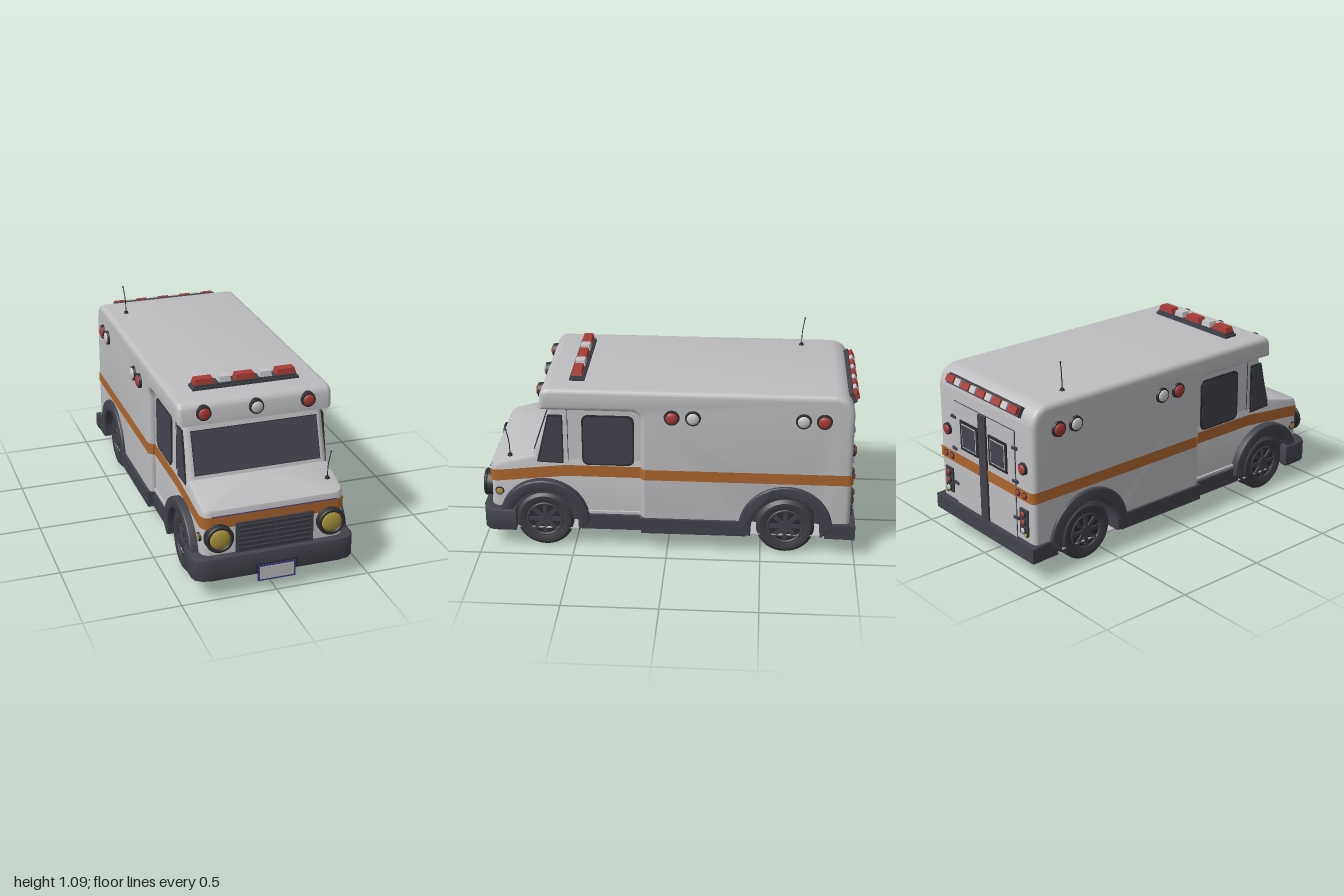
import * as THREE from 'three';
import { toCreasedNormals } from 'three/addons/utils/BufferGeometryUtils.js';

const mat = (name, color) => Object.assign(new THREE.MeshStandardMaterial({ color }), { name });
const M = {
  body: mat('body white', 0xbdbcbf), stripe: mat('stripe orange', 0xac652e),
  trim: mat('trim grey', 0x41424b), glass: mat('window glass', 0x42434e),
  tire: mat('tire grey', 0x3c3c42), black: mat('rim black', 0x2d2d31),
  red: mat('lamp red', 0xa83b36), yellow: mat('lamp yellow', 0xac963c),
  lens: mat('lamp white', 0xc4c3c6), navy: mat('plate navy', 0x404084),
};

export function createModel() {
  const root = new THREE.Group();
  const add = (name, geo, m, x = 0, y = 0, z = 0, parent = root) => {
    const mesh = new THREE.Mesh(geo, m);
    mesh.name = name;
    mesh.position.set(x, y, z);
    parent.add(mesh);
    return mesh;
  };
  const box = (name, m, w, h, d, x, y, z, parent) => add(name, new THREE.BoxGeometry(w, h, d), m, x, y, z, parent);
  const polygon = (pts) => new THREE.Shape(pts.map((p) => new THREE.Vector2(...p)));
  const roundRect = (x0, y0, x1, y1, r) => {
    const s = new THREE.Shape();
    s.absarc(x1 - r, y1 - r, r, 0, Math.PI / 2);
    s.absarc(x0 + r, y1 - r, r, Math.PI / 2, Math.PI);
    s.absarc(x0 + r, y0 + r, r, Math.PI, Math.PI * 1.5);
    s.absarc(x1 - r, y0 + r, r, Math.PI * 1.5, Math.PI * 2);
    return s;
  };
  // Extrude a (z, y) side profile along x, centred on x = 0
  const sideExtrude = (shape, width, bevel = 0) => {
    const depth = width - 2 * bevel;
    const g = new THREE.ExtrudeGeometry(shape, {
      depth, bevelEnabled: bevel > 0, bevelSize: bevel, bevelThickness: bevel,
      bevelOffset: -bevel, bevelSegments: 4, curveSegments: 20,
    });
    return toCreasedNormals(g.translate(0, 0, -depth / 2).rotateY(-Math.PI / 2), 0.6);
  };
  const sidePair = (name, shape, m, x, thick, bevel) => {
    for (const s of [1, -1]) add(name, sideExtrude(shape, thick, bevel), m, s * x);
  };
  // Plan outline with rounded front corners, height given by yFn(z)
  const ring = (w, zf, zb, r, yFn, mids = []) => {
    const half = [[w, zb], ...mids.map((z) => [w, z])];
    for (let i = 0; i <= 5; i++) {
      const a = (i / 5) * Math.PI / 2;
      half.push([w - r + r * Math.cos(a), zf - r + r * Math.sin(a)]);
    }
    const all = [...half, ...half.slice().reverse().map(([x, z]) => [-x, z])];
    return all.map(([x, z]) => [x, yFn(z), z]);
  };
  // Skin between stacked outlines, with an optional top cap
  const loft = (rings, cap) => {
    const n = rings[0].length, pos = rings.flat(2), idx = [];
    for (let k = 0; k < rings.length - 1; k++) for (let i = 0; i < n; i++) {
      const j = (i + 1) % n, a = k * n, b = a + n;
      idx.push(a + i, b + i, b + j, a + i, b + j, a + j);
    }
    if (cap) {
      const c = pos.length / 3, t = (rings.length - 1) * n;
      pos.push(...cap);
      for (let i = 0; i < n; i++) idx.push(c, t + (i + 1) % n, t + i);
    }
    const g = new THREE.BufferGeometry();
    g.setAttribute('position', new THREE.Float32BufferAttribute(pos, 3));
    g.setIndex(idx);
    return toCreasedNormals(g, 0.6);
  };
  const lamp = (name, r, m, x, y, z, ry = 0, depth = 0.03, squash = 0.4) => {
    const g = new THREE.Group();
    g.name = name;
    g.position.set(x, y, z);
    g.rotation.y = ry;
    add('lampRim', new THREE.CylinderGeometry(r * 0.9, r, depth, 24).rotateX(Math.PI / 2), M.black, 0, 0, 0, g);
    const lens = add('lampLens', new THREE.SphereGeometry(r * 0.74, 20, 8, 0, Math.PI * 2, 0, Math.PI / 2).rotateX(Math.PI / 2), m, 0, 0, depth / 2, g);
    lens.scale.z = squash;
    root.add(g);
    return g;
  };

  // Rear box and overhanging roof in one side profile
  const p = new THREE.Shape();
  p.moveTo(-0.97, 0.15);
  p.lineTo(-0.82, 0.15);
  p.absarc(-0.63, 0.155, 0.19, Math.PI, 0, true);
  p.lineTo(0.14, 0.15);
  p.lineTo(0.14, 0.75);
  p.quadraticCurveTo(0.14, 0.805, 0.195, 0.805);
  p.lineTo(0.67, 0.805);
  p.lineTo(0.665, 0.885);
  p.quadraticCurveTo(0.655, 0.925, 0.61, 0.925);
  p.lineTo(-0.86, 0.925);
  p.quadraticCurveTo(-0.955, 0.92, -0.968, 0.82);
  p.closePath();
  add('boxBodyAndRoof', sideExtrude(p, 0.82, 0.027), M.body);

  // Cab: nose with sloped hood, and upper cabin
  const hood = (d) => (z) => 0.53 - Math.max(0, z - 0.715) * 0.25 - d;
  const noseRing = (inset, yFn) => ring(0.378 - inset, 0.95 - inset, 0.1, 0.05, yFn, [0.54, 0.715]);
  add('cabNose', loft([noseRing(0, () => 0.15), noseRing(0, hood(0.025)), noseRing(0.007, hood(0.007)), noseRing(0.025, hood(0))], [0, 0.53, 0.715]), M.body);
  add('cabUpper', loft([ring(0.375, 0.725, 0.1, 0.03, () => 0.5), ring(0.372, 0.617, 0.1, 0.03, () => 0.82)], [0, 0.82, 0.4]), M.body);

  // Stripes wrapped round the nose and the box
  const mid = (d) => (z) => 0.45 - Math.max(0, z - 0.54) * 0.11 + d;
  const noseStripe = (d) => ring(0.381, 0.953, 0.11, 0.05, mid(d), [0.54, 0.715]);
  add('noseStripe', loft([noseStripe(-0.034), noseStripe(0.03)]), M.stripe);
  const boxStripe = (y) => ring(0.4125, 0.979, -0.115, 0.03, () => y);
  add('boxStripe', loft([boxStripe(0.42), boxStripe(0.48)]).rotateY(Math.PI), M.stripe);
  for (const s of [1, -1]) {
    box('stripeCorner', M.stripe, 0.036, 0.06, 0.005, s * 0.4015, 0.45, 0.1315).rotation.y = s * Math.PI / 4;
    box('stripeReturn', M.stripe, 0.02, 0.06, 0.005, s * 0.382, 0.45, 0.141);
  }
  box('stripeLine', M.navy, 0.66, 0.004, 0.004, 0, 0.437, 0.953);

  // Windows and door seams
  const tilt = -Math.atan(0.1075 / 0.32);
  box('windshieldFrame', M.black, 0.674, 0.228, 0.006, 0, 0.656, 0.6735).rotation.x = tilt;
  box('windshield', M.glass, 0.667, 0.221, 0.008, 0, 0.656, 0.675).rotation.x = tilt;
  sidePair('quarterWindowFrame', polygon([[0.55, 0.49], [0.692, 0.495], [0.628, 0.768], [0.55, 0.768]]), M.black, 0.376, 0.008);
  sidePair('quarterWindow', polygon([[0.557, 0.497], [0.682, 0.502], [0.622, 0.761], [0.557, 0.761]]), M.glass, 0.378, 0.008);
  sidePair('doorWindowFrame', roundRect(0.175, 0.484, 0.45, 0.771, 0.035), M.black, 0.376, 0.008);
  sidePair('doorWindow', roundRect(0.184, 0.493, 0.441, 0.762, 0.028), M.glass, 0.378, 0.008);
  for (const s of [1, -1]) {
    box('doorSeam', M.trim, 0.004, 0.6, 0.003, s * 0.3755, 0.5, 0.525);
    box('doorSill', M.body, 0.02, 0.012, 0.3, s * 0.38, 0.208, 0.28);
  }

  // Chassis, floor, skirts and bumpers
  box('chassis', M.trim, 0.52, 0.3, 1.8, 0, 0.257, -0.05);
  for (const [z0, z1, w] of [[-0.96, 0.137, 0.78], [0.143, 0.95, 0.78], [-0.96, -0.84, 0.835], [-0.42, 0.137, 0.835]])
    box('floor', M.body, w, 0.006, z1 - z0, 0, 0.104, (z0 + z1) / 2);
  for (const [z0, z1, w] of [[-0.97, -0.84, 0.425], [-0.42, 0.14, 0.425], [0.145, 0.46, 0.395]])
    for (const s of [1, -1]) box('skirt', M.trim, w - 0.25, 0.085, z1 - z0, s * (w + 0.25) / 2, 0.15, (z0 + z1) / 2);
  box('rearBumper', M.trim, 0.86, 0.08, 0.06, 0, 0.148, -0.97);
  const edge = [[0.42, 0.82], [0.42, 0.925], [0.41, 0.953], [0.385, 0.973], [0.34, 0.983]];
  const bumper = polygon([...edge, ...edge.slice().reverse().map(([x, z]) => [-x, z])]);
  const bumperGeo = new THREE.ExtrudeGeometry(bumper, { depth: 0.105, bevelSize: 0.01, bevelThickness: 0.01, bevelSegments: 2 });
  add('frontBumper', toCreasedNormals(bumperGeo.rotateX(Math.PI / 2), 0.6), M.trim, 0, 0.215, 0);
  box('plateRecess', M.black, 0.225, 0.05, 0.006, 0, 0.135, 0.991);
  box('plateFrame', M.navy, 0.2, 0.09, 0.008, 0, 0.107, 0.993);
  box('licensePlate', M.body, 0.18, 0.07, 0.005, 0, 0.107, 0.9975);

  // Wheel arches and wheels
  const flare = (z, r) => {
    const s = new THREE.Shape();
    s.moveTo(z - r - 0.01, 0.11);
    s.absarc(z, 0.155, r, Math.PI, 0, true);
    s.lineTo(z + r + 0.01, 0.11);
    s.lineTo(z + 0.185, 0.11);
    s.absarc(z, 0.155, 0.183, 0, Math.PI, false);
    s.lineTo(z - 0.185, 0.11);
    return s;
  };
  sidePair('frontArch', flare(0.66, 0.243), M.trim, 0.385, 0.07, 0.008);
  sidePair('rearArch', flare(-0.63, 0.25), M.trim, 0.34, 0.175, 0.008);
  // Dark panel behind each front tire, cut out round the rim
  const liner = new THREE.Shape();
  liner.absarc(0.66, 0.155, 0.186, 0, Math.PI);
  liner.lineTo(0.53, 0.155);
  liner.absarc(0.66, 0.155, 0.13, Math.PI, 0, true);
  sidePair('archLiner', liner, M.trim, 0.341, 0.08);
  const tire = new THREE.LatheGeometry([[0.09, -0.05], [0.105, -0.06], [0.138, -0.06], [0.156, -0.045], [0.156, 0.045], [0.138, 0.06], [0.105, 0.06], [0.09, 0.05]].map((q) => new THREE.Vector2(...q)), 36).rotateZ(-Math.PI / 2);
  const disc = (r, t) => new THREE.CylinderGeometry(r, r, t, 32).rotateZ(Math.PI / 2);
  for (const s of [1, -1]) for (const z of [0.66, -0.63]) {
    const w = new THREE.Group();
    w.name = 'wheel';
    w.position.set(s * 0.334, 0.156, z);
    add('tire', toCreasedNormals(tire, 0.6), M.tire, 0, 0, 0, w);
    add('rimDisc', disc(0.1, 0.096), M.black, 0, 0, 0, w);
    add('rimRing', new THREE.TorusGeometry(0.093, 0.008, 8, 32).rotateY(Math.PI / 2), M.trim, s * 0.053, 0, 0, w);
    add('hub', disc(0.032, 0.12), M.trim, 0, 0, 0, w);
    for (let i = 0; i < 8; i++) {
      const a = (i / 8) * Math.PI * 2;
      box('spoke', M.trim, 0.012, 0.065, 0.022, s * 0.05, Math.cos(a) * 0.06, Math.sin(a) * 0.06, w).rotation.x = a;
    }
    root.add(w);
  }

  // Grille and headlights
  box('grille', M.trim, 0.41, 0.17, 0.03, 0, 0.305, 0.947);
  for (let i = 0; i < 6; i++) for (const s of [1, -1])
    box('grilleSlat', M.trim, 0.185, 0.018, 0.008, s * 0.098, 0.243 + i * 0.025, 0.961).rotation.x = 0.2;
  for (const s of [1, -1]) {
    const head = lamp('headlight', 0.074, M.yellow, s * 0.295, 0.325, 0.96, 0, 0.035, 0.3);
    add('headlightRing', new THREE.TorusGeometry(0.063, 0.01, 10, 32), M.black, 0, 0, 0.02, head);
    lamp('sideMarker', 0.025, M.yellow, s * 0.378, 0.315, 0.9, s * Math.PI / 2, 0.012, 0.15);
  }

  // Round warning lamps
  for (const x of [-0.277, 0, 0.277]) lamp('roofFrontLamp', 0.041, x ? M.red : M.lens, x, 0.868, 0.668);
  for (const s of [1, -1]) {
    for (const [z, m] of [[-0.025, M.red], [-0.135, M.lens], [-0.705, M.lens], [-0.812, M.red]])
      lamp('sideLamp', 0.043, m, s * 0.413, 0.785, z, s * Math.PI / 2, 0.02);
    lamp('rearLamp', 0.034, M.red, s * 0.33, 0.59, -0.972, Math.PI, 0.02);
    for (const x of [0.29, 0.345]) lamp('smallRearLamp', 0.02, M.red, s * x, 0.45, -0.978, Math.PI, 0.012);
    // Tail cluster
    box('tailPlate', M.trim, 0.065, 0.14, 0.012, s * 0.33, 0.3, -0.973);
    [M.red, M.red, M.lens].forEach((m, i) => lamp('tailLamp', 0.021, m, s * 0.33, 0.345 - i * 0.045, -0.981, Math.PI, 0.01));
    lamp('turnLamp', 0.014, M.yellow, s * 0.352, 0.235, -0.979, Math.PI, 0.01);
    // Rear doors
    box('rearDoorSeam', M.trim, 0.265, 0.585, 0.004, s * 0.1325, 0.4775, -0.97);
    box('rearDoor', M.body, 0.26, 0.58, 0.008, s * 0.132, 0.4775, -0.971);
    box('rearWindowFrame', M.black, 0.155, 0.165, 0.012, s * 0.125, 0.6, -0.975);
    box('rearWindowTrim', M.body, 0.125, 0.135, 0.008, s * 0.125, 0.6, -0.978);
    box('rearWindow', M.glass, 0.112, 0.122, 0.008, s * 0.125, 0.6, -0.98);
    for (const y of [0.3, 0.5, 0.68]) box('hinge', M.trim, 0.04, 0.015, 0.014, s * 0.265, y, -0.974);
  }
  box('rearDoorPost', M.trim, 0.06, 0.585, 0.025, 0, 0.4775, -0.975);

  // Light bars
  const lightBlock = (m, w, h, d, x, y, z) => add('lightBlock', new THREE.CylinderGeometry(0.6, Math.SQRT1_2, 1, 4, 1).rotateY(Math.PI / 4).toNonIndexed().scale(w, h, d), m, x, y, z).geometry.computeVertexNormals();
  box('roofBarBase', M.trim, 0.57, 0.014, 0.08, 0, 0.93, 0.48);
  box('roofBarTop', M.trim, 0.545, 0.014, 0.068, 0, 0.943, 0.48);
  for (let i = -2; i <= 2; i++) lightBlock(i % 2 ? M.lens : M.red, i % 2 ? 0.065 : 0.11, 0.03, 0.056, i * 0.11, 0.964, 0.48);
  const rearBar = new THREE.Group();
  rearBar.name = 'rearLightBar';
  rearBar.position.set(0, 0.876, -0.955);
  rearBar.rotation.x = 0.5;
  box('rearBarBase', M.trim, 0.62, 0.055, 0.03, 0, 0, 0, rearBar);
  for (let i = -4; i <= 4; i++)
    box('rearBarLight', i % 2 ? M.lens : M.red, i % 2 ? 0.046 : 0.066, 0.036, 0.03, i * 0.0675, 0, -0.018, rearBar);
  root.add(rearBar);

  // Antennas
  for (const [x, y, z, dx, dz] of [[-0.302, 0.925, -0.7, -0.01, -0.015], [0.322, 0.5, 0.845, 0.01, 0.015]]) {
    const path = new THREE.CatmullRomCurve3([[0, 0, 0], [dx * 0.15, 0.08, dz * 0.2], [dx, 0.155, dz]].map((q) => new THREE.Vector3(...q)));
    add('antennaRod', new THREE.TubeGeometry(path, 8, 0.0025, 6), M.black, x, y, z);
    add('antennaBase', new THREE.CylinderGeometry(0.01, 0.014, 0.012, 12), M.black, x, y + 0.005, z);
    add('antennaTip', new THREE.SphereGeometry(0.005, 8, 6), M.black, x + dx, y + 0.155, z + dz);
  }
  return root;
}
